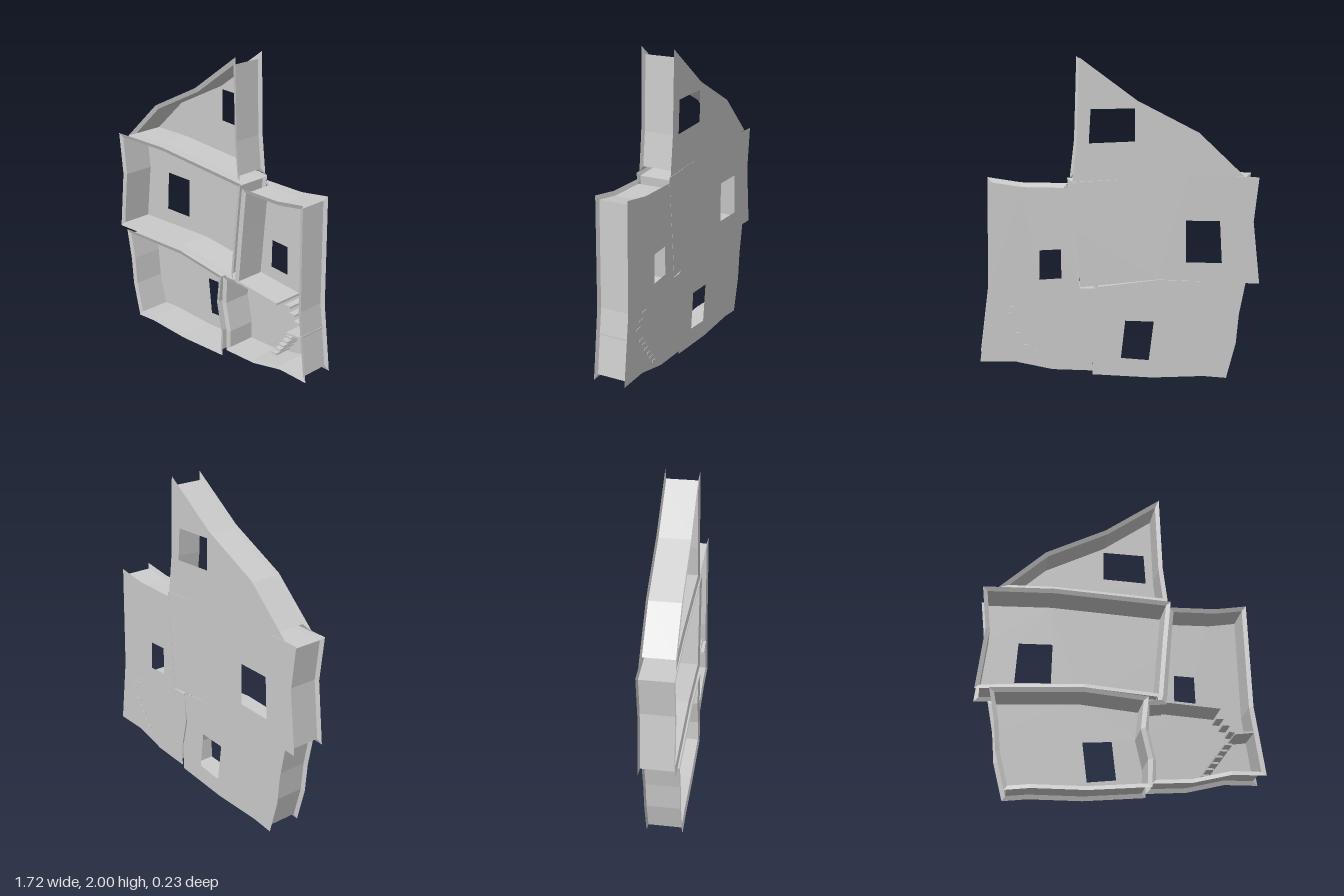
import * as THREE from 'three';

const grey = new THREE.MeshStandardMaterial({ color: 0xcccccc, flatShading: true, side: THREE.DoubleSide });
const RIM = 0.026; // how far the walls sit inside each room's outline

// Outlines run anticlockwise seen from the front; z values are the rim planes
const rooms = [
  {
    name: 'attic', front: 0.09, back: -0.117,
    outline: [[-0.76, 1.28], [-0.41, 1.292], [0.29, 1.265], [0.262, 1.5], [0.245, 2], [-0.1, 1.745], [-0.475, 1.55]],
    window: [[-0.085, 1.503], [0.19, 1.495], [0.178, 1.697], [-0.085, 1.699]],
  },
  {
    name: 'middleRoom', front: 0.1, back: -0.117,
    outline: [[-0.864, 0.61], [-0.23, 0.655], [0.246, 0.62], [0.277, 0.97], [0.306, 1.262], [-0.415, 1.294], [-0.85, 1.275], [-0.82, 1.0]],
    window: [[-0.626, 0.747], [-0.404, 0.758], [-0.4, 1.017], [-0.61, 1.01]],
  },
  {
    name: 'groundRoom', front: 0.115, back: -0.108,
    outline: [[-0.668, 0.005], [-0.52, 0.023], [-0.2, 0.026], [0.172, 0.062], [0.177, 0.23], [0.136, 0.415], [0.158, 0.615],
      [-0.23, 0.65], [-0.78, 0.615], [-0.742, 0.415], [-0.726, 0.23]],
    window: [[-0.177, 0.14], [-0.003, 0.161], [-0.03, 0.398], [-0.207, 0.386]],
  },
  {
    name: 'stairRoom', front: 0.085, back: -0.117,
    outline: [[0.175, 0.09], [0.42, 0.108], [0.652, 0.167], [0.858, 0.172], [0.802, 0.6], [0.79, 1.275], [0.589, 1.24],
      [0.304, 1.23], [0.279, 0.97], [0.248, 0.61], [0.145, 0.6], [0.136, 0.415], [0.177, 0.23]],
    window: [[0.36, 0.679], [0.494, 0.674], [0.489, 0.855], [0.362, 0.858]],
  },
];

const toVectors = (list) => list.map(([x, y]) => new THREE.Vector2(x, y));

// Mitred inset of a closed outline
function inset(points, d) {
  const n = points.length;
  return points.map((p, i) => {
    const a = p.clone().sub(points[(i + n - 1) % n]).normalize();
    const b = points[(i + 1) % n].clone().sub(p).normalize();
    const na = new THREE.Vector2(-a.y, a.x), nb = new THREE.Vector2(-b.y, b.x);
    return p.clone().addScaledVector(na.clone().add(nb), d / (1 + na.dot(nb)));
  });
}

// Closed band of quads joining loop a at depth za to loop b at depth zb
function band(a, za, b, zb) {
  const v = [];
  a.forEach((p, i) => {
    const j = (i + 1) % a.length;
    v.push(p.x, p.y, za, a[j].x, a[j].y, za, b[j].x, b[j].y, zb);
    v.push(p.x, p.y, za, b[j].x, b[j].y, zb, b[i].x, b[i].y, zb);
  });
  const g = new THREE.BufferGeometry();
  g.setAttribute('position', new THREE.Float32BufferAttribute(v, 3));
  g.computeVertexNormals();
  return g;
}

function add(parent, name, geometry) {
  const mesh = new THREE.Mesh(geometry, grey);
  mesh.name = name;
  parent.add(mesh);
  return mesh;
}

// Thin slab, given as a crooked quad seen from the front
function slab(parent, name, corners, z0, z1) {
  const g = new THREE.ExtrudeGeometry(new THREE.Shape(toVectors(corners)), { depth: z1 - z0, bevelEnabled: false });
  add(parent, name, g.translate(0, 0, z0));
}

function buildRoom({ name, front, back, outline, window }) {
  const room = new THREE.Group();
  room.name = name;
  const outer = toVectors(outline), inner = inset(outer, RIM);

  // Back panel with its window opening
  const panel = new THREE.Shape(outer);
  panel.holes.push(new THREE.Path(toVectors(window)));
  add(room, name + 'BackPanel', new THREE.ShapeGeometry(panel).translate(0, 0, back));

  // Walls, and rims flaring out at both ends
  add(room, name + 'Walls', band(inner, back + 0.009, inner, front - 0.01));
  add(room, name + 'FrontRim', band(inner, front - 0.01, outer, front));
  add(room, name + 'BackRim', band(inner, back + 0.009, outer, back));
  return room;
}

export function createModel() {
  const house = new THREE.Group();
  house.name = 'crookedHouse';
  const built = {};
  for (const r of rooms) house.add(built[r.name] = buildRoom(r));
  const stairRoom = built.stairRoom;

  // Upper floor and landing
  slab(stairRoom, 'upperFloor', [[0.16, 0.595], [0.27, 0.597], [0.6, 0.578], [0.6, 0.592], [0.27, 0.612], [0.16, 0.61]], -0.112, 0.078);
  slab(stairRoom, 'landing', [[0.68, 0.42], [0.8, 0.437], [0.8, 0.449], [0.68, 0.432]], -0.112, 0.078);

  // Two flights of floating steps: start, end, count
  const flights = [
    ['lowerStep', [0.512, 0.183], [0.69, 0.425], 6],
    ['upperStep', [0.615, 0.549], [0.69, 0.468], 3],
  ];
  for (const [name, from, to, count] of flights) {
    const last = name === 'lowerStep' ? count : count - 1;
    for (let i = 0; i < count; i++) {
      const t = i / last;
      const step = add(stairRoom, name, new THREE.BoxGeometry(0.044, 0.012, 0.12));
      step.position.set(from[0] + (to[0] - from[0]) * t, from[1] + (to[1] - from[1]) * t, -0.06);
    }
  }
  return house;
}
